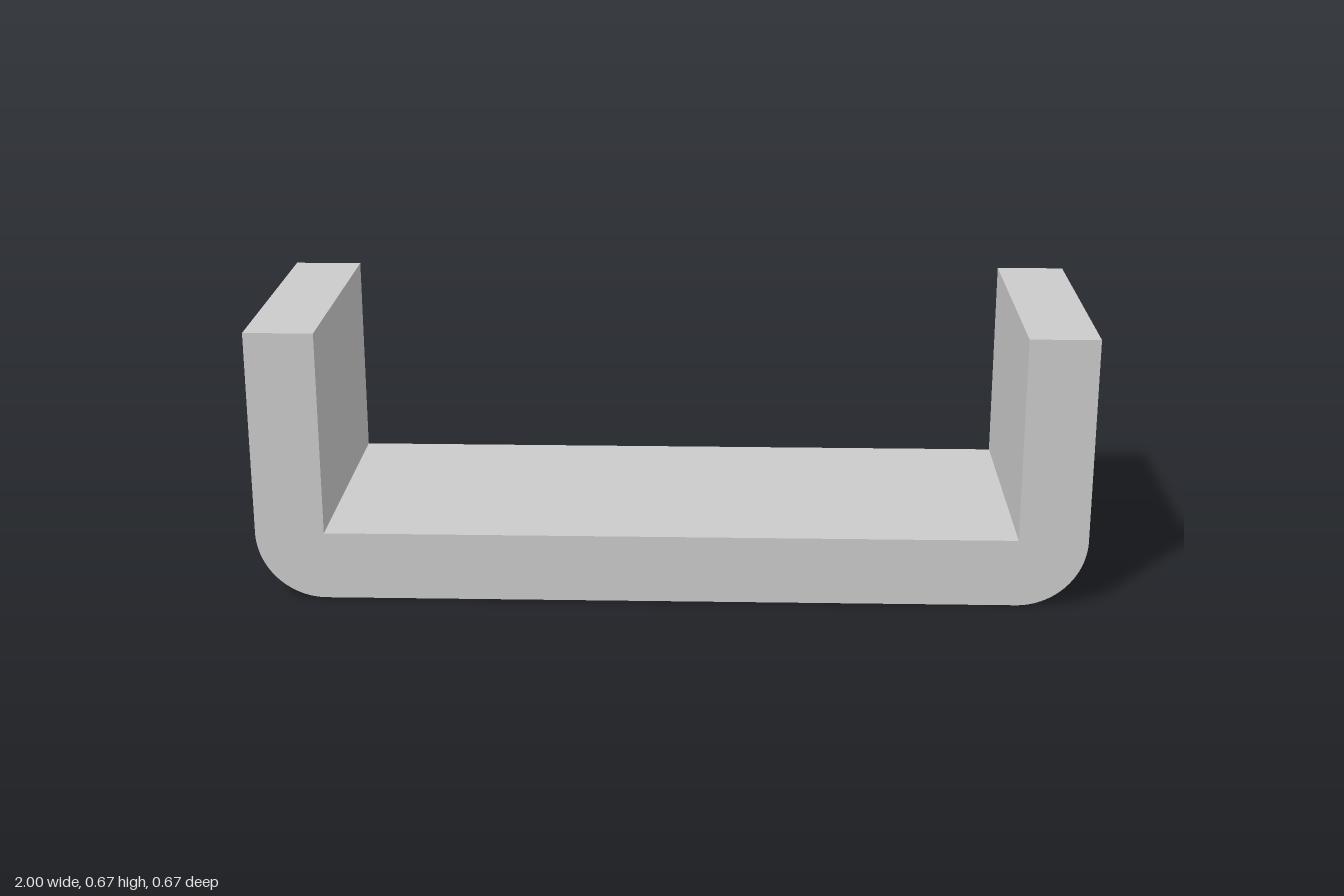
import * as THREE from 'three';
import { toCreasedNormals } from 'three/addons/utils/BufferGeometryUtils.js';

export function createModel() {
  const half = 1, height = 2 / 3, depth = 2 / 3, wall = 1 / 6;

  // U-shaped section: square inner corners, rounded outer bottom corners
  const section = new THREE.Shape();
  section.moveTo(-half + wall, 0);
  section.lineTo(half - wall, 0);
  section.absarc(half - wall, wall, wall, -Math.PI / 2, 0, false);
  section.lineTo(half, height);
  section.lineTo(half - wall, height);
  section.lineTo(half - wall, wall);
  section.lineTo(-half + wall, wall);
  section.lineTo(-half + wall, height);
  section.lineTo(-half, height);
  section.lineTo(-half, wall);
  section.absarc(-half + wall, wall, wall, Math.PI, Math.PI * 1.5, false);

  // Extrude along z and keep only the bends smooth
  const extruded = new THREE.ExtrudeGeometry(section, { depth, bevelEnabled: false, curveSegments: 24 });
  extruded.translate(0, 0, -depth / 2);
  const channel = new THREE.Mesh(
    toCreasedNormals(extruded, Math.PI / 6),
    new THREE.MeshStandardMaterial({ color: 0xcccccc })
  );
  channel.name = 'channelBracket';

  const model = new THREE.Group();
  model.name = 'bracket';
  model.add(channel);
  return model;
}
